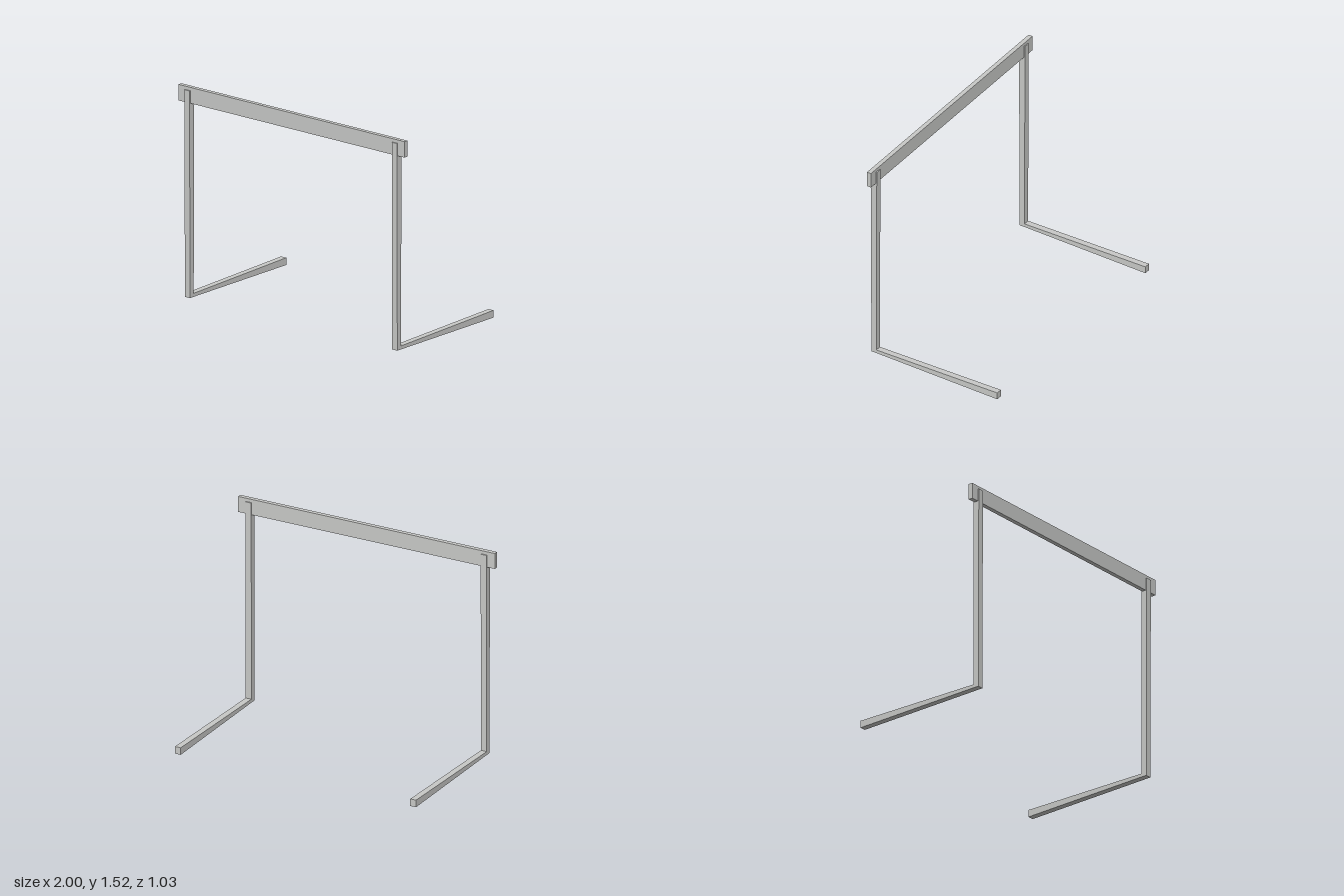
import * as THREE from 'three';

export function createModel() {
  const model = new THREE.Group();
  const metal = new THREE.MeshStandardMaterial({ color: 0xc8c9c7 });

  // Crossbar
  const bar = new THREE.Mesh(new THREE.BoxGeometry(2, 0.114, 0.032), metal);
  bar.name = 'crossbar';
  bar.position.set(0, 1.462, 0.49);
  model.add(bar);

  // L-shaped leg: [z, y] side outline, upright and foot both flaring away from the corner
  const outline = [
    [-0.514, 0], [0.47, 0.015], [0.51, 0.015], [0.514, 1.495],
    [0.466, 1.495], [0.47, 0.04], [-0.514, 0.052],
  ];
  const width = 0.045;
  const shape = new THREE.Shape(outline.map(([z, y]) => new THREE.Vector2(-z, y)));
  const legGeometry = new THREE.ExtrudeGeometry(shape, { depth: width, bevelEnabled: false });
  legGeometry.translate(0, 0, -width / 2);
  legGeometry.rotateY(Math.PI / 2); // outline x becomes -z, extrusion runs along x

  for (const side of [-1, 1]) {
    const leg = new THREE.Mesh(legGeometry, metal);
    leg.name = side > 0 ? 'leftLeg' : 'rightLeg';
    leg.position.x = side * 0.917;
    model.add(leg);
  }
  return model;
}
